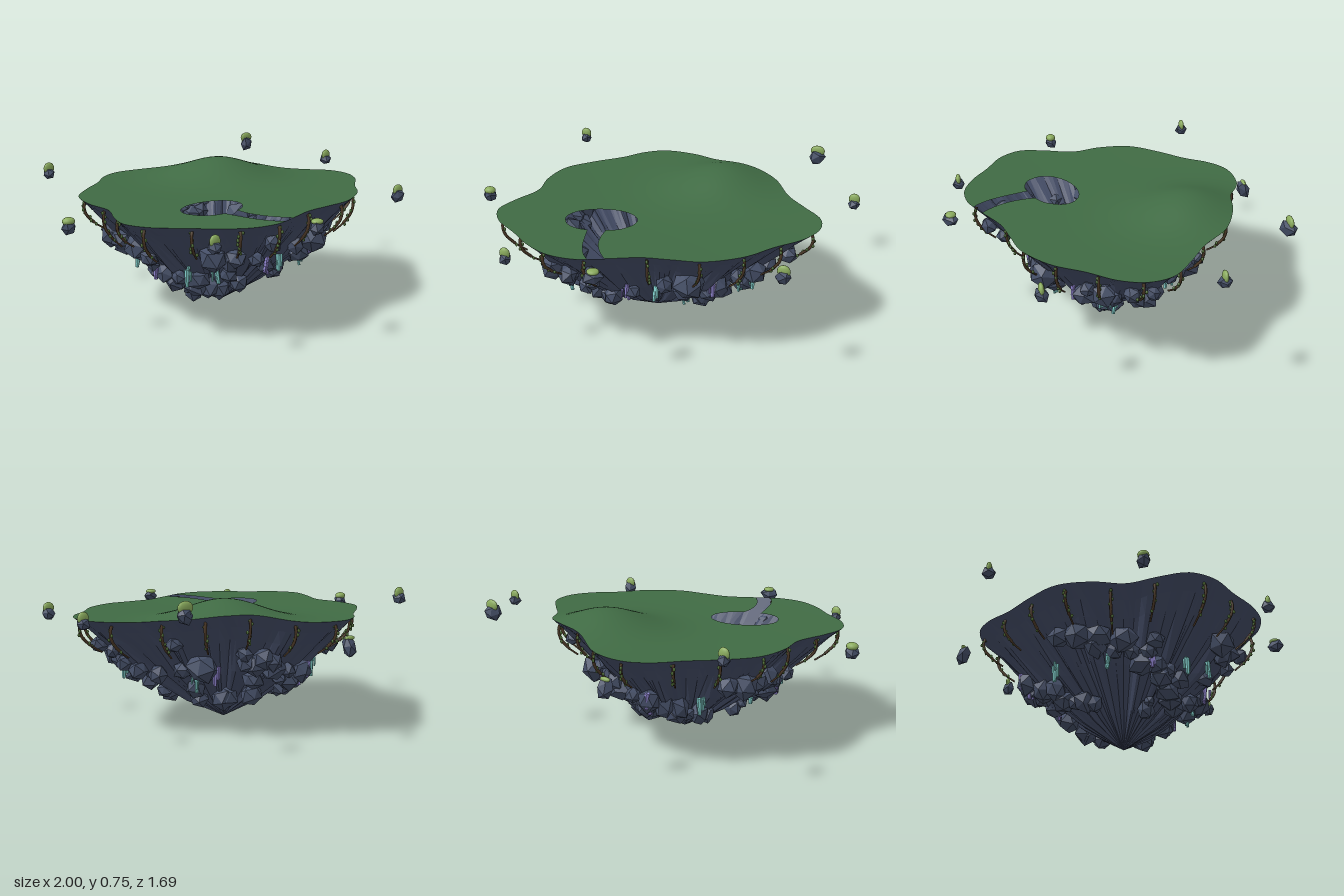
import * as THREE from 'three';

const N = 144; // columns around the island

function paint(name, color, extra = {}) {
  const m = new THREE.MeshStandardMaterial({ color, ...extra });
  m.name = name;
  return m;
}

function seeded(seed) {
  return () => {
    seed = (seed * 16807) % 2147483647;
    return seed / 2147483647;
  };
}

// Ground height: a nearly level plain with one soft hill
function height(x, z) {
  const d2 = (x - 0.28) ** 2 + (z + 0.25) ** 2;
  return 0.58 + 0.024 * (x * x + z * z) + 0.11 * Math.exp(-d2 / 0.07);
}

// Surface through rows of points
function skin(rows) {
  const n = rows[0].length, index = [];
  for (let k = 0; k < rows.length - 1; k++) {
    for (let j = 0; j < n - 1; j++) {
      const a = k * n + j, d = a + n;
      index.push(a, a + 1, d + 1, a, d + 1, d);
    }
  }
  const g = new THREE.BufferGeometry().setFromPoints(rows.flat());
  g.setIndex(index);
  g.computeVertexNormals();
  return g;
}

export function createModel() {
  const island = new THREE.Group();
  island.name = 'floatingIsland';
  const rnd = seeded(4711);

  const grass = paint('grass', 0x406b44, { side: THREE.DoubleSide });
  const cliff = paint('cliffRock', 0x444d67, { side: THREE.DoubleSide, flatShading: true });
  const stone = paint('boulderStone', 0x444e66, { flatShading: true });
  const moss = paint('moss', 0x8bac5e);
  const bark = paint('vineStem', 0x4d3a28);
  const leaf = paint('vineLeaf', 0x4f6e36);
  const teal = paint('tealCrystal', 0x84d4d0, { flatShading: true });
  const violet = paint('violetCrystal', 0x9488d6, { flatShading: true });

  function add(parent, name, geometry, material, pos) {
    const m = new THREE.Mesh(geometry, material);
    m.name = name;
    if (pos) m.position.copy(pos);
    parent.add(m);
    return m;
  }
  function group(name) {
    const g = new THREE.Group();
    g.name = name;
    island.add(g);
    return g;
  }

  // Rim outline, starting and ending at the two banks of the stream
  const outline = [
    [-0.26, 0.648], [-0.09, 0.623], [0.056, 0.64], [0.2, 0.655], [0.393, 0.596], [0.537, 0.49],
    [0.68, 0.404], [0.767, 0.297], [0.783, 0.17], [0.714, 0.03], [0.634, -0.105], [0.575, -0.28],
    [0.457, -0.41], [0.3, -0.515], [0.14, -0.68], [-0.04, -0.745], [-0.168, -0.714], [-0.29, -0.634],
    [-0.452, -0.553], [-0.6, -0.45], [-0.677, -0.29], [-0.703, -0.13], [-0.8, 0.01], [-0.864, 0.136],
    [-0.837, 0.27], [-0.735, 0.404], [-0.64, 0.537], [-0.53, 0.63], [-0.4, 0.666], [-0.34, 0.66],
  ].map(([x, z]) => new THREE.Vector3(x, 0, z));
  const rim = new THREE.CatmullRomCurve3(outline).getSpacedPoints(N);
  rim.forEach((p) => { p.y = height(p.x, p.z); });

  // Grass, stretched from the pond edge to the rim, with the stream left open
  const pond = new THREE.Vector3(-0.324, 0, 0.206);
  const grassRows = rim.map((p, k) => {
    const a = Math.atan2((p.z - pond.z) / 0.125, (p.x - pond.x) / 0.182);
    const px = pond.x + 0.182 * Math.cos(a), pz = pond.z + 0.125 * Math.sin(a);
    const right = Math.max(0, 1 - k / 20), left = Math.max(0, 1 - (N - k) / 20);
    return Array.from({ length: 29 }, (_, j) => {
      const t = j / 28;
      const bend = right * (1 - t) * (0.02 - 0.14 * t) - left * 0.05 * (1 - t ** 4);
      const x = px + (p.x - px) * t + bend, z = pz + (p.z - pz) * t;
      return new THREE.Vector3(x, height(x, z), z);
    });
  });
  add(island, 'grassTop', skin(grassRows), grass);

  // Hollow ridged cone of rock under the grass
  const tip = new THREE.Vector3(-0.05, 0, 0.03);
  const profile = [[1, 1], [0.91, 0.9], [0.82, 0.79], [0.58, 0.5], [0.27, 0.2], [0, 0]];
  function cliffPoint(k, f, g) {
    const p = rim[k];
    return new THREE.Vector3(tip.x + (p.x - tip.x) * f, p.y * g, tip.z + (p.z - tip.z) * f);
  }
  function reach(g) { // share of the rim radius at a share of the height
    const i = Math.max(1, profile.findIndex((q) => q[1] <= g));
    const [f0, g0] = profile[i - 1], [f1, g1] = profile[i];
    return f1 + (f0 - f1) * (g - g1) / (g0 - g1);
  }
  const cliffRows = [...rim, rim[0]].map((_, i) => {
    const w = (i % (N + 1)) / N * Math.PI * 2;
    const ridge = 0.045 * Math.sin(23 * w) + 0.035 * Math.sin(37 * w + 1) + 0.02 * Math.sin(9 * w);
    return profile.map(([f, g], j) =>
      cliffPoint(i % (N + 1), f * (1 + ridge * [0, 0.15, 0.4, 1, 1.3, 0][j]), g));
  });
  add(island, 'cliffCone', skin(cliffRows), cliff);

  // Point on the cliff at height y, at x = u on the front or z = u on the +x side
  function onCliff(side, u, y, out) {
    const [along, facing] = side === 'front' ? ['x', 'z'] : ['z', 'x'];
    let best, miss = Infinity;
    rim.forEach((p, k) => {
      const g = y / p.y, q = cliffPoint(k, reach(g) + out, g), d = Math.abs(q[along] - u);
      if (q[facing] > tip[facing] && d < miss) [best, miss] = [q, d];
    });
    return best;
  }

  // Rough boulder shapes: icosahedra with corners pushed in and out by a rule
  const boulderShapes = [1, 2, 3].map((s) => {
    const g = new THREE.IcosahedronGeometry(1.06, 0), p = g.attributes.position;
    const v = new THREE.Vector3();
    for (let i = 0; i < p.count; i++) {
      v.fromBufferAttribute(p, i);
      v.multiplyScalar(1 + 0.12 * Math.sin(v.x * 5 * s + v.y * 7 + v.z * 9 + s));
      p.setXYZ(i, v.x, v.y, v.z);
    }
    g.computeVertexNormals();
    return g;
  });
  function boulder(parent, name, i, pos, sx, sy, sz) {
    const b = add(parent, name, boulderShapes[i % 3], stone, pos);
    b.scale.set(sx, sy, sz);
    b.rotation.set(rnd() * 0.8, rnd() * 6, rnd() * 0.8);
    return b;
  }

  // Boulders stuck in the cliff: position along the side, height, radius
  const boulders = group('cliffBoulders');
  const placed = {
    front: [
      [-0.6, 0.36, 0.045], [-0.46, 0.385, 0.05], [-0.48, 0.235, 0.06], [-0.39, 0.29, 0.045], [-0.34, 0.47, 0.042],
      [-0.33, 0.38, 0.04], [-0.41, 0.15, 0.03], [-0.32, 0.12, 0.045], [-0.26, 0.21, 0.05], [-0.17, 0.29, 0.045],
      [0, 0.37, 0.045], [0.13, 0.385, 0.08], [0.26, 0.29, 0.06], [0.29, 0.23, 0.055], [0.18, 0.155, 0.055],
      [0.24, 0.17, 0.045], [0.385, 0.285, 0.055], [0.45, 0.38, 0.06], [0.53, 0.35, 0.045], [0.37, 0.38, 0.04],
    ],
    right: [
      [0.52, 0.375, 0.06], [0.43, 0.3, 0.05], [0.34, 0.26, 0.055], [0.29, 0.45, 0.045], [0.22, 0.17, 0.05],
      [0.3, 0.36, 0.045], [0.14, 0.32, 0.055], [0.19, 0.43, 0.035], [0.06, 0.3, 0.05], [-0.05, 0.21, 0.055],
      [-0.02, 0.15, 0.05], [-0.12, 0.15, 0.06], [-0.24, 0.17, 0.06], [-0.18, 0.35, 0.075], [-0.07, 0.33, 0.045],
      [-0.3, 0.27, 0.055], [-0.4, 0.25, 0.05], [-0.44, 0.38, 0.05], [-0.14, 0.48, 0.04], [-0.34, 0.375, 0.05],
    ],
  };
  for (const side in placed) {
    placed[side].forEach(([u, y, r], i) => boulder(boulders, 'boulder', i, onCliff(side, u, y, 0.05), r, r, r));
  }
  for (let i = 0; i < 32; i++) {
    const k = Math.floor((0.43 + 0.53 * ((i * 0.618034) % 1)) * N);
    const g = 0.24 + 0.5 * ((i * 0.754878) % 1) ** 0.8, r = 0.038 + 0.03 * rnd();
    boulder(boulders, 'boulder', i, cliffPoint(k, reach(g) + 0.05, g), r, r * (0.9 + 0.25 * rnd()), r);
  }

  // Crystal clusters hanging from the cliff
  const crystals = group('crystals');
  function cluster(base, material) {
    for (let j = 0; j < 3; j++) {
      const s = 1 - 0.22 * j;
      const shard = new THREE.CylinderGeometry(0.013 * s, 0.009 * s, 0.085 * s, 6);
      const pos = base.clone().add(new THREE.Vector3((rnd() - 0.5) * 0.035, (rnd() - 0.5) * 0.035, (rnd() - 0.5) * 0.035));
      add(crystals, 'crystal', shard, material, pos).rotation.set(rnd() * 0.3 - 0.15, 0, rnd() * 0.3 - 0.15);
    }
  }
  [
    ['front', -0.47, 0.31, teal], ['front', -0.2, 0.3, violet], ['front', -0.05, 0.275, teal],
    ['front', 0.1, 0.28, teal], ['front', 0.24, 0.3, violet], ['front', 0.365, 0.29, teal],
    ['right', 0.29, 0.31, teal], ['right', -0.1, 0.26, teal], ['right', -0.23, 0.31, violet],
    ['right', -0.47, 0.27, violet],
  ].forEach(([side, u, y, material]) => cluster(onCliff(side, u, y, 0.09), material));
  [[0.55, violet], [0.64, teal], [0.73, teal], [0.81, violet], [0.88, teal]].forEach(([u, material]) => {
    const g = 0.47 + 0.06 * rnd();
    cluster(cliffPoint(Math.floor(u * N), reach(g) + 0.09, g), material);
  });

  // Leafy vines drooping from the rim, each a thick stem and a thinner tail
  const vines = group('vines');
  const leafShape = new THREE.SphereGeometry(0.0075, 6, 4);
  for (let i = 0; i < 20; i++) {
    const k = Math.floor((i + 0.95) * N / 20), drop = 0.85 + 0.3 * rnd();
    const points = [[0.955, 0], [0.97, 0.04], [0.955, 0.09], [0.9, 0.14], [0.83, 0.18]].map(([f, d]) => {
      const p = cliffPoint(k, f, 1);
      p.y -= 0.012 + d * drop;
      return p;
    });
    const path = new THREE.CatmullRomCurve3(points);
    const upper = new THREE.CatmullRomCurve3(points.slice(0, 4));
    add(vines, 'vineStem', new THREE.TubeGeometry(upper, 12, 0.008, 5), bark);
    add(vines, 'vineTail', new THREE.TubeGeometry(path, 14, 0.005, 5), bark);
    for (let j = 1; j < 8; j++) {
      const p = path.getPoint(j / 9);
      p.x += (rnd() - 0.5) * 0.022;
      p.z += (rnd() - 0.5) * 0.022;
      add(vines, 'vineLeaf', leafShape, leaf, p).scale.set(1, 1.3, 1);
    }
  }

  // Small rocks floating around the island: position, half width and height, size of the moss cap
  const mossShape = new THREE.SphereGeometry(1, 14, 10);
  [
    [-0.52, 0.66, -0.765, 0.031, 0.034, 0.03, 0.031, 0.014], [0.03, 0.48, -0.815, 0.04, 0.05, 0.03, 0.012, 0.013],
    [0.815, 0.68, -0.47, 0.046, 0.042, 0.04, 0.03, 0.014], [0.965, 0.615, 0.02, 0.032, 0.032, 0.029, 0.031, 0.014],
    [0.565, 0.565, 0.735, 0.037, 0.035, 0.032, 0.031, 0.014], [-0.295, 0.58, 0.805, 0.052, 0.032, 0.03, 0.014, 0.028],
    [-0.745, 0.54, 0.575, 0.03, 0.035, 0.028, 0.03, 0.014], [-0.965, 0.56, -0.12, 0.036, 0.034, 0.031, 0.02, 0.028],
  ].forEach(([x, y, z, w, h, ...cap], i) => {
    const rock = group('floatingRock');
    rock.position.set(x, y, z);
    boulder(rock, 'rock', i, null, w, h, 0.033).rotation.set(0.2, 0.3, 0.1);
    const top = add(rock, 'mossCap', mossShape, moss, new THREE.Vector3(0, h * 0.85, 0));
    top.scale.set(...cap);
    top.rotation.y = -0.3;
  });

  return island;
}
